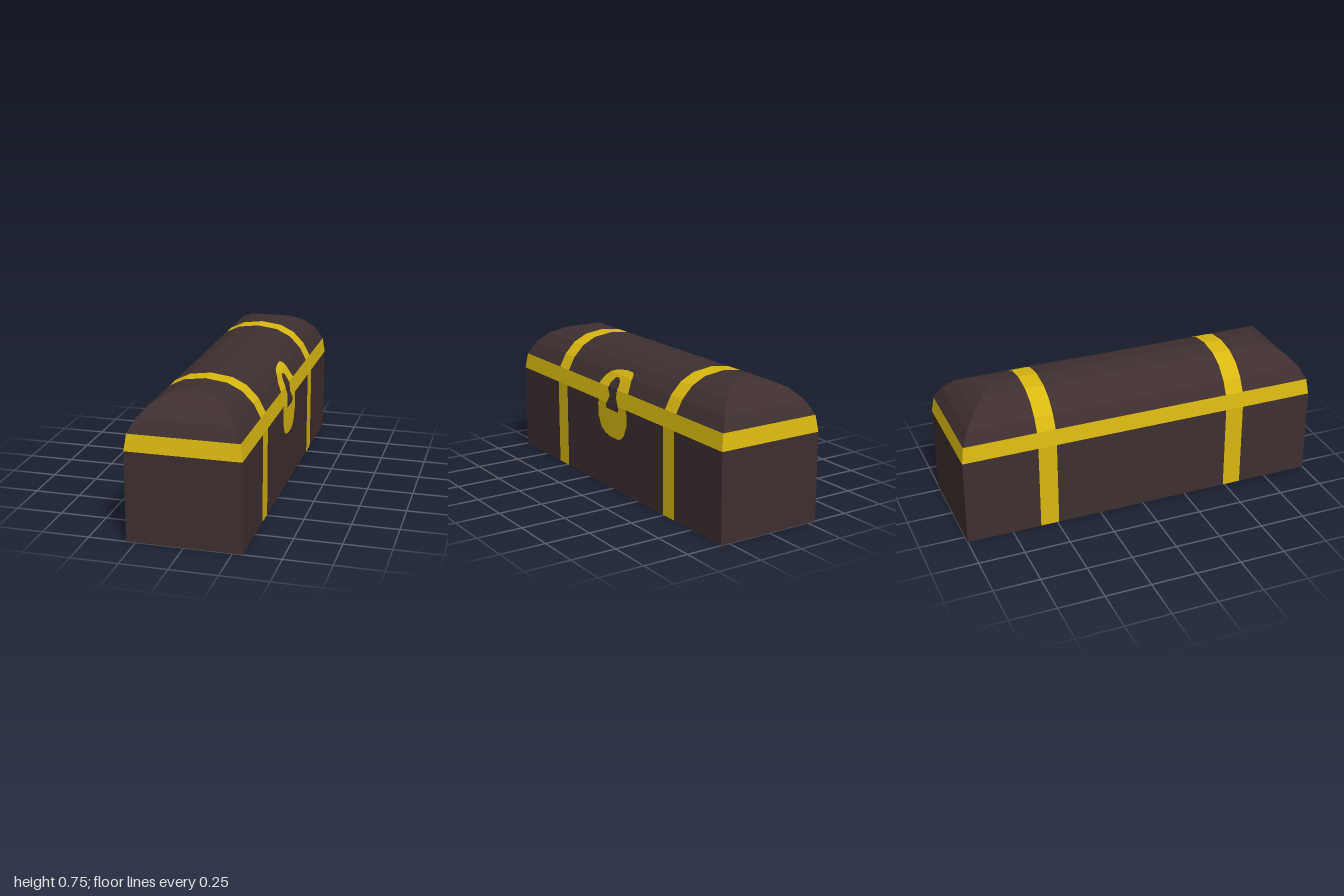
import * as THREE from 'three';

// Half cross-section, bottom to ridge: half width, height, half length
const LEVELS = [
  [0.3, 0, 1], [0.3, 0.48, 1], [0.288, 0.568, 0.987], [0.25, 0.64, 0.95],
  [0.19, 0.702, 0.89], [0.113, 0.74, 0.82], [0, 0.755, 0.74],
];
const STRAP_IN = 0.49, STRAP_OUT = 0.592;

// Lock outlines as rows: height, edge at +z, edge at -z
const PLATE = [
  [0.295, 0.02, -0.06], [0.305, 0.07, -0.085], [0.33, 0.113, -0.115], [0.39, 0.145, -0.143],
  [0.46, 0.147, -0.143], [0.48, 0.135, -0.135], [0.54, 0.14, -0.14], [0.575, 0.15, -0.141],
  [0.615, 0.125, -0.128], [0.645, 0.085, -0.12], [0.66, 0.04, -0.11], [0.669, -0.03, -0.09],
];
const KEYHOLE = [
  [0.45, 0.055, -0.06], [0.472, 0.062, -0.068], [0.5, 0.042, -0.048], [0.525, 0.032, -0.033],
  [0.56, 0.055, -0.035], [0.59, 0.047, -0.037], [0.615, 0.03, -0.028], [0.627, 0.015, -0.01],
];

// Mesh from flat quads, each turned to face away from the chest's middle
function quadMesh(name, quads, material) {
  const pos = [];
  const mid = new THREE.Vector3(0, 0.35, 0);
  for (const q of quads) {
    let [a, b, c, d] = q.map((p) => new THREE.Vector3(...p));
    const n = c.clone().sub(a).cross(d.clone().sub(b));
    const centre = a.clone().add(b).add(c).add(d).multiplyScalar(0.25).sub(mid);
    if (n.dot(centre) < 0) [b, d] = [d, b];
    for (const v of [a, b, c, a, c, d]) pos.push(v.x, v.y, v.z);
  }
  const geo = new THREE.BufferGeometry();
  geo.setAttribute('position', new THREE.Float32BufferAttribute(pos, 3));
  geo.computeVertexNormals();
  const mesh = new THREE.Mesh(geo, material);
  mesh.name = name;
  return mesh;
}

// Width of the chest wall at a height
function wallX(y) {
  for (let i = 1; i < LEVELS.length; i++) {
    const [x0, y0] = LEVELS[i - 1], [x1, y1] = LEVELS[i];
    if (y <= y1) return THREE.MathUtils.lerp(x0, x1, (y - y0) / (y1 - y0));
  }
  return 0;
}

// Thin plate that follows the bends of the front wall
function wallPlate(rows, lift) {
  const all = rows.slice();
  for (const [, y] of LEVELS) {
    const i = rows.findIndex((r) => r[0] > y);
    if (i < 1 || rows[i - 1][0] === y) continue;
    const a = rows[i - 1], b = rows[i], t = (y - a[0]) / (b[0] - a[0]);
    all.push(a.map((v, k) => THREE.MathUtils.lerp(v, b[k], t)));
  }
  all.sort((a, b) => a[0] - b[0]);
  const point = (y, z) => [wallX(y) + lift, y, z];
  return all.slice(1).map(([y1, l1, r1], i) => {
    const [y0, l0, r0] = all[i];
    return [point(y0, l0), point(y0, r0), point(y1, r1), point(y1, l1)];
  });
}

export function createModel() {
  const wood = new THREE.MeshStandardMaterial({ color: 0x3f2f30 });
  wood.name = 'darkWood';
  const gold = new THREE.MeshStandardMaterial({ color: 0xd9b810 });
  gold.name = 'gold';

  const body = [], lid = [], rim = [], straps = [];
  const cuts = (end) => [-end, -STRAP_OUT, -STRAP_IN, STRAP_IN, STRAP_OUT, end];

  // Walls and lid facets, level by level
  for (let i = 1; i < LEVELS.length; i++) {
    const [x0, y0, e0] = LEVELS[i - 1], [x1, y1, e1] = LEVELS[i];
    const panel = i === 1 ? body : i === 2 ? rim : lid;
    const z0 = cuts(e0), z1 = cuts(e1);
    for (const s of [-1, 1]) {
      for (let k = 0; k < 5; k++) {
        const target = (k === 1 || k === 3) && i !== 2 ? straps : panel;
        target.push([
          [s * x0, y0, z0[k]], [s * x0, y0, z0[k + 1]],
          [s * x1, y1, z1[k + 1]], [s * x1, y1, z1[k]],
        ]);
      }
      // End facet
      panel.push([[-x0, y0, s * e0], [x0, y0, s * e0], [x1, y1, s * e1], [-x1, y1, s * e1]]);
    }
  }

  // Underside
  const zb = cuts(1);
  for (let k = 0; k < 5; k++) {
    (k % 2 ? straps : body).push([
      [-0.3, 0, zb[k]], [0.3, 0, zb[k]], [0.3, 0, zb[k + 1]], [-0.3, 0, zb[k + 1]],
    ]);
  }

  const chest = new THREE.Group();
  chest.name = 'chest';
  chest.add(
    quadMesh('body', body, wood),
    quadMesh('lid', lid, wood),
    quadMesh('lidRim', rim, gold),
    quadMesh('straps', straps, gold),
    quadMesh('lockPlate', wallPlate(PLATE, 0.002), gold),
    quadMesh('keyhole', wallPlate(KEYHOLE, 0.004), wood),
  );
  return chest;
}
